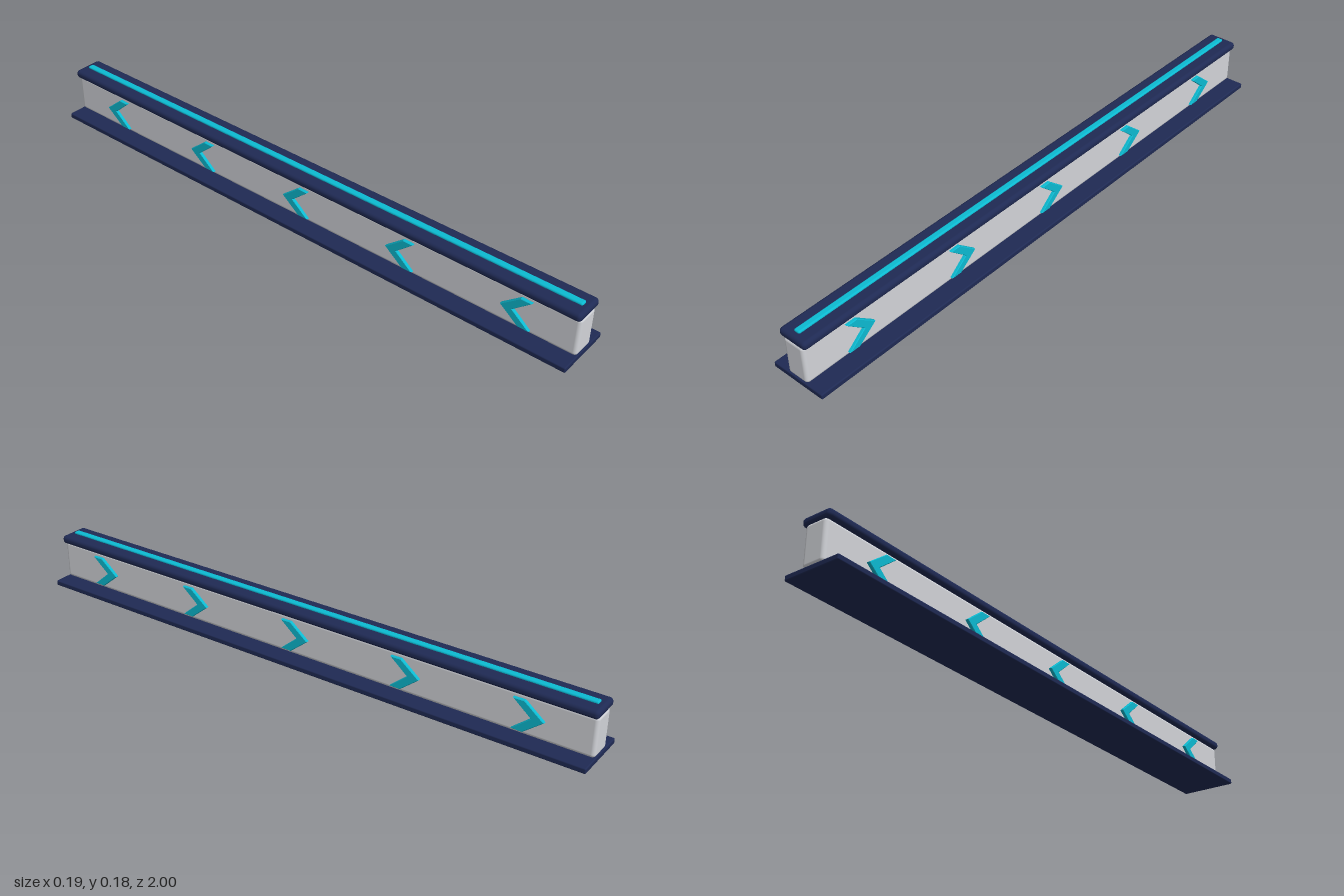
import * as THREE from 'three';
import { RoundedBoxGeometry } from 'three/addons/geometries/RoundedBoxGeometry.js';

function material(name, color) {
  const m = new THREE.MeshStandardMaterial({ color });
  m.name = name;
  return m;
}

export function createModel() {
  const navy = material('navy', 0x1f2a54);
  const lightGrey = material('lightGrey', 0xd3d5da);
  const cyan = material('cyan', 0x0cbbd2);
  const model = new THREE.Group();
  model.name = 'barrierWall';

  // Rounded bar running the length of the wall, from y0 to y1
  const bar = (name, width, y0, y1, length, radius, mat) => {
    const mesh = new THREE.Mesh(new RoundedBoxGeometry(width, y1 - y0, length, 4, radius), mat);
    mesh.name = name;
    mesh.position.y = (y0 + y1) / 2;
    model.add(mesh);
  };
  bar('basePlate', 0.192, 0, 0.018, 2, 0.004, navy);
  bar('wallPanel', 0.078, 0.016, 0.148, 1.996, 0.012, lightGrey);
  bar('topRail', 0.103, 0.144, 0.172, 2, 0.012, navy);
  bar('lightStrip', 0.022, 0.166, 0.178, 1.96, 0.005, cyan);

  // Chevron outline in (z, y), pointing toward -z
  const outline = [
    [0.047, 0.049], [0.014, 0.049], [-0.047, 0], [0.014, -0.049], [0.047, -0.049], [-0.012, 0],
  ].map(([z, y]) => new THREE.Vector2(-z, y));
  const chevron = new THREE.ExtrudeGeometry(new THREE.Shape(outline), {
    depth: 0.01, bevelEnabled: true, bevelThickness: 0.002, bevelSize: 0.002, bevelSegments: 1,
  });
  chevron.translate(0, 0, -0.005);
  chevron.rotateY(Math.PI / 2);

  // Five chevrons on each side
  for (const side of [-1, 1]) {
    for (let i = 0; i < 5; i++) {
      const mesh = new THREE.Mesh(chevron, cyan);
      mesh.name = side > 0 ? 'leftChevron' : 'rightChevron';
      mesh.position.set(side * 0.042, 0.081, 0.803 - i * 0.4);
      model.add(mesh);
    }
  }
  return model;
}
